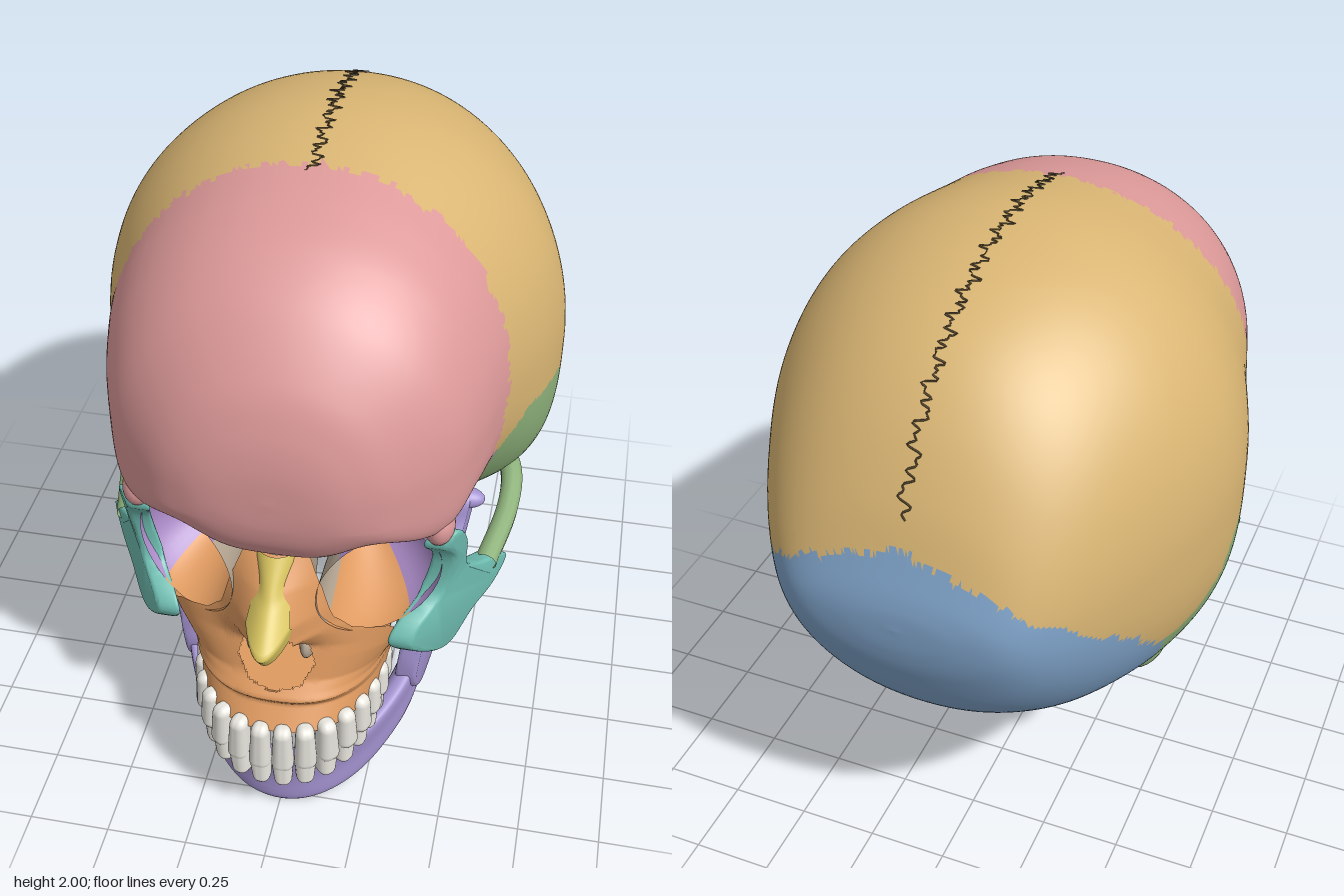
import * as THREE from 'three';
import { toCreasedNormals } from 'three/addons/utils/BufferGeometryUtils.js';
import { RoundedBoxGeometry } from 'three/addons/geometries/RoundedBoxGeometry.js';

const COLORS = {
  frontal: 0xdd9999, parietal: 0xd9b573, occipital: 0x7fa3c9, temporal: 0x8fb37c, sphenoid: 0xa888c4,
  zygomatic: 0x6fbdb1, maxilla: 0xdf9a60, nasal: 0xd9c560, mandible: 0xa594d2, tooth: 0xe8e6de,
  ethmoid: 0xb5a592, pterygoid: 0xc490d2, seam: 0x54452c,
};
const V = (x, y, z) => new THREE.Vector3(x, y, z);
const spline = (pts, closed = false) => new THREE.CatmullRomCurve3(pts, closed, 'catmullrom', 0.5);

// Linear lookup in a table of [key, value]
function lin(t, table) {
  if (t <= table[0][0]) return table[0][1];
  for (let i = 1; i < table.length; i++) {
    const [a, p] = table[i - 1], [b, q] = table[i];
    if (t <= b) return p + (q - p) * (t - a) / (b - a);
  }
  return table[table.length - 1][1];
}

// Surface from f(u, v) -> [x, y, z]; wrap closes it in v
function surface(nu, nv, f, wrap = false) {
  const pos = [], index = [], cols = wrap ? nv : nv + 1;
  for (let i = 0; i <= nu; i++) for (let j = 0; j < cols; j++) pos.push(...f(i / nu, j / nv));
  for (let i = 0; i < nu; i++) for (let j = 0; j < nv; j++) {
    const k = (j + 1) % cols, a = i * cols + j, b = i * cols + k, c = a + cols, d = b + cols;
    index.push(a, b, d, a, d, c);
  }
  const g = new THREE.BufferGeometry();
  g.setAttribute('position', new THREE.Float32BufferAttribute(pos, 3));
  g.setIndex(index);
  g.computeVertexNormals();
  return g;
}

// Sort the triangles of a surface into named pieces; null drops a triangle
function split(geo, classify) {
  const P = geo.attributes.position, N = geo.attributes.normal, I = geo.index.array, out = {};
  for (let i = 0; i < I.length; i += 3) {
    const t = [I[i], I[i + 1], I[i + 2]];
    const mid = k => (P[k](t[0]) + P[k](t[1]) + P[k](t[2])) / 3;
    const name = classify(mid('getX'), mid('getY'), mid('getZ'));
    if (!name) continue;
    const o = out[name] ??= { p: [], n: [] };
    for (const v of t) {
      o.p.push(P.getX(v), P.getY(v), P.getZ(v));
      o.n.push(N.getX(v), N.getY(v), N.getZ(v));
    }
  }
  for (const name in out) {
    const g = new THREE.BufferGeometry();
    g.setAttribute('position', new THREE.Float32BufferAttribute(out[name].p, 3));
    g.setAttribute('normal', new THREE.Float32BufferAttribute(out[name].n, 3));
    out[name] = g;
  }
  return out;
}

// Flat bone cut from a smooth (z, y) outline, set at x = xAt(z, y)
function plate(outline, depth, xAt) {
  const pts = spline(outline.map(([z, y]) => V(z, y, 0)), true).getPoints(70).slice(0, -1);
  const g = new THREE.ExtrudeGeometry(new THREE.Shape(pts.map(p => new THREE.Vector2(p.x, p.y))),
    { depth, bevelThickness: 0.014, bevelSize: 0.01, bevelOffset: -0.01, bevelSegments: 3 });
  const P = g.attributes.position;
  for (let i = 0; i < P.count; i++) {
    const z = P.getX(i), y = P.getY(i);
    P.setXYZ(i, xAt(z, y) + P.getZ(i) - depth, y, z);
  }
  return toCreasedNormals(g, 0.9);
}
const blob = (x, y, z, a, b, c) => new THREE.SphereGeometry(1, 24, 16).scale(a, b, c).translate(x, y, z);

// Braincase sections from front to back: z, top, bottom, half width, height of widest point, lower squareness
const CASE = [
  [.845, 1.29, 1.29, 0, 1.29, 2], [.84, 1.4, 1.19, .15, 1.28, 2.2], [.815, 1.51, 1.11, .25, 1.28, 3],
  [.76, 1.63, 1.045, .35, 1.28, 4], [.64, 1.775, 1.03, .475, 1.3, 5], [.5, 1.87, 1.01, .54, 1.33, 3.4],
  [.36, 1.92, .9, .58, 1.34, 2.5], [.217, 1.953, .79, .62, 1.3, 2.5], [0, 1.992, .68, .69, 1.25, 3],
  [-.18, 1.99, .59, .71, 1.23, 2.9], [-.39, 1.945, .57, .665, 1.22, 2.7], [-.59, 1.85, .6, .58, 1.2, 2.4],
  [-.74, 1.71, .69, .5, 1.18, 2.2], [-.86, 1.52, .82, .41, 1.17, 2.1], [-.935, 1.33, .98, .31, 1.17, 2.1],
  [-.963, 1.24, 1.08, .17, 1.17, 2], [-.97, 1.17, 1.17, 0, 1.17, 2]];
const RIDGE = spline(CASE.map(s => V(s[0], s[1], s[2])));
const GIRTH = spline(CASE.map(s => V(s[3], s[4], s[5])));
const jag = t => .008 * (Math.sin(47 * t) + Math.sin(113 * t + 1) + Math.sin(211 * t));

function braincase() {
  const geo = surface(150, 240, (u, v) => {
    const p = RIDGE.getPoint(u), q = GIRTH.getPoint(u), a = v * 2 * Math.PI;
    const c = Math.cos(a), s = Math.sin(a), n = s > 0 ? 2.1 : q.z;
    const r = (Math.abs(c) ** n + Math.abs(s) ** n) ** (-1 / n);
    const x = q.x * c * r, z = p.x;
    let y = q.y + s * r * (s > 0 ? p.y - q.y : q.y - p.z);
    // Arch of the brow above each eye socket
    y += 0.06 * Math.exp(-(((Math.abs(x) - .28) / .11) ** 2)) * lin(y, [[1.06, 1], [1.2, 0]]) * lin(z, [[.45, 0], [.6, 1]]);
    return [x, y, z];
  }, true);
  const squama = [[-.47, .9], [-.34, .92], [-.22, 1], [-.18, 1.1], [-.07, 1.18], [.16, 1.2], [.32, 1.155]];
  return split(geo, (x, y, z) => {
    const ax = Math.abs(x);
    if (y < .75 && (x / .1) ** 2 + ((z + .27) / .14) ** 2 < 1) return null; // opening for the spine
    if (z > .2 + .26 * (1.94 - y) + jag(x + y) && y > 1.17 - (z - .4) * .7) return 'frontal';
    if (y < 1.17 && z > .33) return 'sphenoid';
    if (z > -.46 + Math.max(0, .9 - y) * .35 && y < lin(z, squama) + .4 * jag(z)) {
      if (ax > .34) return 'temporal';
      return z > .05 ? 'sphenoid' : 'occipital';
    }
    const peak = z < -.8 ? .13 * Math.max(0, 1 - ax / .36) : 0;
    if (y < .9 + Math.max(0, -.47 - z) * .85 + peak + jag(x + z)) return 'occipital';
    return x > 0 ? 'leftParietal' : 'rightParietal';
  });
}

// Wavy seam along the top between the two parietal bones
function crownSeam() {
  const pts = [];
  for (let i = 0; i <= 240; i++) {
    const p = RIDGE.getPoint(.435 + .39 * i / 240);
    pts.push(V(1.3 * jag(1.7 * p.x), p.y, p.x));
  }
  return new THREE.TubeGeometry(spline(pts), 300, .003, 5);
}

// Upper jaw: a curved sheet with a pear-shaped nose opening
function maxilla() {
  const upper = [[0, 1.03], [.1, 1.03], [.14, .93], [.17, .82], [.22, .765], [.32, .735], [.4, .67], [.45, .6]];
  const width = [[.42, .29], [.55, .31], [.66, .38], [.75, .42]];
  const front = [[.42, .865], [.49, .815], [.53, .845], [.58, .8], [.8, .74], [1.03, .72]];
  const nose = [[.7, 0], [.78, .9], [.85, .95], [.95, .6], [1.03, .2]];
  const opening = [[.55, 0], [.57, .08], [.64, .115], [.74, .085], [.82, .05], [.84, 0]];
  const geo = surface(160, 70, (u, v) => {
    const a = (u - .5) * Math.PI, s = Math.sin(a), c = Math.cos(a);
    const r = (Math.abs(s) ** 2.4 + Math.abs(c) ** 2.4) ** (-1 / 2.4);
    const y = .42 + (lin(.45 * Math.abs(s), upper) - .42) * v, x = lin(y, width) * s * r;
    return [x, y, .43 + (lin(y, front) - .43) * c * r + .16 * Math.exp(-((x / .125) ** 2)) * lin(y, nose)];
  });
  return split(geo, (x, y) => Math.abs(x) < lin(y, opening) ? null : 'maxilla').maxilla;
}

// Eye socket wall between two angles, narrowing to the back
function socket(from, to) {
  return surface(16, 24, (u, v) => {
    const a = (from + (to - from) * v) * Math.PI / 180, k = (1 - u ** 1.6) * .96 + .04;
    const x0 = .285 + .165 * Math.cos(a), z0 = .79 - (x0 - .12) * .62;
    return [.14 + (.145 + .165 * Math.cos(a)) * k, .91 + .175 * Math.sin(a) * k, z0 + (.28 - z0) * u];
  });
}

// U-shaped body of the lower jaw: x, z, bottom, top
function jawBody() {
  const half = [[.375, .24, .24, .4], [.35, .36, .165, .38], [.305, .48, .1, .31], [.215, .62, .035, .25], [.11, .72, .01, .235]];
  const all = [...half.map(([x, ...r]) => [-x, ...r]), [0, .75, 0, .235], ...half.slice().reverse()];
  const path = spline(all.map(s => V(s[0], 0, s[1]))), size = spline(all.map(s => V(s[2], s[3], 0)));
  return surface(80, 28, (u, v) => {
    const p = path.getPoint(u), t = path.getTangent(u), h = size.getPoint(u), a = v * 2 * Math.PI;
    const c = Math.cos(a), s = Math.sin(a), r = (Math.abs(c) ** 3 + Math.abs(s) ** 3) ** (-1 / 3);
    const end = Math.abs(u - .5) * 2;
    const off = c * r * (.045 - .025 * end ** 3) + (1 - end ** 2) * (.025 * (s * r) ** 2 + .015 * s * r);
    return [p.x - t.z * off, (h.x + h.y) / 2 + s * r * (h.y - h.x) / 2, p.z + t.x * off];
  }, true);
}

// A row of sixteen teeth along the dental arch
function teeth(name, up, mat) {
  const row = new THREE.Group(), k = up ? 1 : .95;
  row.name = name;
  const half = [[.258, .47], [.258, .6], [.218, .74], [.13, .84]];
  const arch = spline([...half.map(([x, z]) => V(-x * k, 0, z)), V(0, 0, .87), ...half.reverse().map(([x, z]) => V(x * k, 0, z))]);
  const w = arch.getLength() / 16;
  for (let i = 0; i < 16; i++) {
    const t = (i + .5) / 16, p = arch.getPointAt(t), d = arch.getTangentAt(t), back = Math.abs(t - .5) * 2;
    const h = up ? .17 - .05 * back : .135 - .03 * back, depth = .06 + .03 * back;
    const g = new RoundedBoxGeometry(w * 1.04, h, depth, 3, .029), P = g.attributes.position;
    for (let j = 0; j < P.count; j++) {
      const bite = P.getY(j) / h * (up ? -1 : 1);
      P.setX(j, P.getX(j) * (.88 + .26 * bite));
      P.setZ(j, P.getZ(j) + (.5 - back * .5) * .03 * bite);
    }
    const m = new THREE.Mesh(g, mat);
    m.name = 'tooth';
    m.position.set(p.x, up ? .355 + .055 * back : .258 + .065 * back, p.z);
    m.rotation.y = Math.atan2(-d.z, d.x);
    row.add(m);
  }
  return row;
}

export function createModel() {
  const root = new THREE.Group(), mats = {};
  root.name = 'skull';
  for (const k in COLORS) mats[k] = new THREE.MeshStandardMaterial({ color: COLORS[k], side: THREE.DoubleSide });
  const add = (name, geo, mat) => {
    const m = new THREE.Mesh(geo, mats[mat]);
    m.name = name;
    root.add(m);
    return m;
  };
  const pair = (name, geo, mat) => {
    add('left' + name, geo, mat);
    add('right' + name, geo, mat).scale.x = -1;
  };

  const bones = braincase();
  for (const name in bones) add(name, bones[name], name.endsWith('Parietal') ? 'parietal' : name);
  add('crownSeam', crownSeam(), 'seam');

  // Underside of the skull
  pair('Condyle', blob(.14, .61, -.16, .075, .07, .13), 'occipital');
  add('basilarPart', blob(0, .68, -.04, .13, .07, .16), 'occipital');
  pair('Mastoid', blob(.475, .735, -.27, .085, .105, .13), 'temporal');
  pair('Styloid', new THREE.ConeGeometry(.03, .26, 10).rotateX(Math.PI - .1).translate(.43, .64, .02), 'temporal');
  pair('CheekArch', new THREE.TubeGeometry(spline([V(.5, .86, -.16), V(.59, .85, .02), V(.6, .81, .18), V(.56, .77, .39)]), 24, .034, 10), 'temporal');

  // Middle of the face and eye sockets
  add('sphenoidBody', blob(0, .84, .24, .2, .13, .2), 'sphenoid');
  pair('SocketOuterWall', socket(-60, 130), 'sphenoid');
  pair('SocketInnerWall', socket(130, 215), 'ethmoid');
  pair('SocketFloor', socket(215, 300), 'maxilla');
  pair('BrowCorner', blob(.437, 1.09, .6, .045, .065, .06), 'frontal');
  pair('Pterygoid', plate([[.4, .8], [.42, .6], [.3, .57], [.22, .62], [.25, .78]], .03, (z, y) => .2 + (.8 - y) * .15), 'pterygoid');
  add('vomer', plate([[.25, .8], [.3, .52], [.56, .53], [.6, .66], [.62, .82]], .014, () => .007), 'ethmoid');
  pair('Concha', blob(.08, .66, .66, .03, .07, .1), 'ethmoid');

  // Cheekbones
  const cheek = [[.6, 1.075], [.545, 1], [.5, .865], [.43, .81], [.33, .765], [.375, .68], [.455, .63], [.53, .56],
    [.6, .575], [.69, .67], [.665, .735], [.58, .8], [.575, .94], [.635, 1.03]];
  pair('Cheekbone', plate(cheek, .045, (z, y) => .37 + (.69 - z) * .66 + .22 * Math.max(0, y - .82)), 'zygomatic');

  // Upper jaw, palate and nose
  add('maxilla', maxilla(), 'maxilla');
  add('palate', new THREE.CylinderGeometry(.28, .28, .03, 40, 1, false, -Math.PI / 2, Math.PI).scale(1, 1, 1.32).translate(0, .51, .43), 'maxilla');
  pair('JawTuberosity', blob(.23, .57, .47, .065, .13, .06), 'maxilla');
  add('palatine', blob(0, .52, .42, .2, .03, .06), 'ethmoid');
  add('nasalBones', surface(24, 20, (u, v) => {
    const s = v * 2 - 1, hw = lin(u, [[0, .055], [.3, .045], [1, .072]]);
    const ridge = lin(u, [[0, .775], [.4, .855], [.8, .97], [1, .93]]);
    return [s * hw, 1.04 - u * .27 + .05 * u * s * s, ridge - s * s * lin(u, [[0, .03], [1, .12]])];
  }), 'nasal');

  // Lower jaw
  add('mandibleBody', jawBody(), 'mandible');
  const ramus = [[.47, .44], [.47, .28], [.36, .17], [.24, .222], [.14, .27], [.105, .36], [.095, .54], [.045, .72], [.07, .78],
    [.13, .77], [.155, .69], [.23, .61], [.31, .6], [.38, .68], [.42, .7], [.44, .6]];
  pair('MandibleRamus', plate(ramus, .04, (z, y) => .42 + (y - .25) * .1 - (z - .1) * .17), 'mandible');
  pair('JawJoint', blob(.45, .755, .09, .075, .035, .04), 'mandible');

  root.add(teeth('upperTeeth', true, mats.tooth), teeth('lowerTeeth', false, mats.tooth));
  return root;
}
